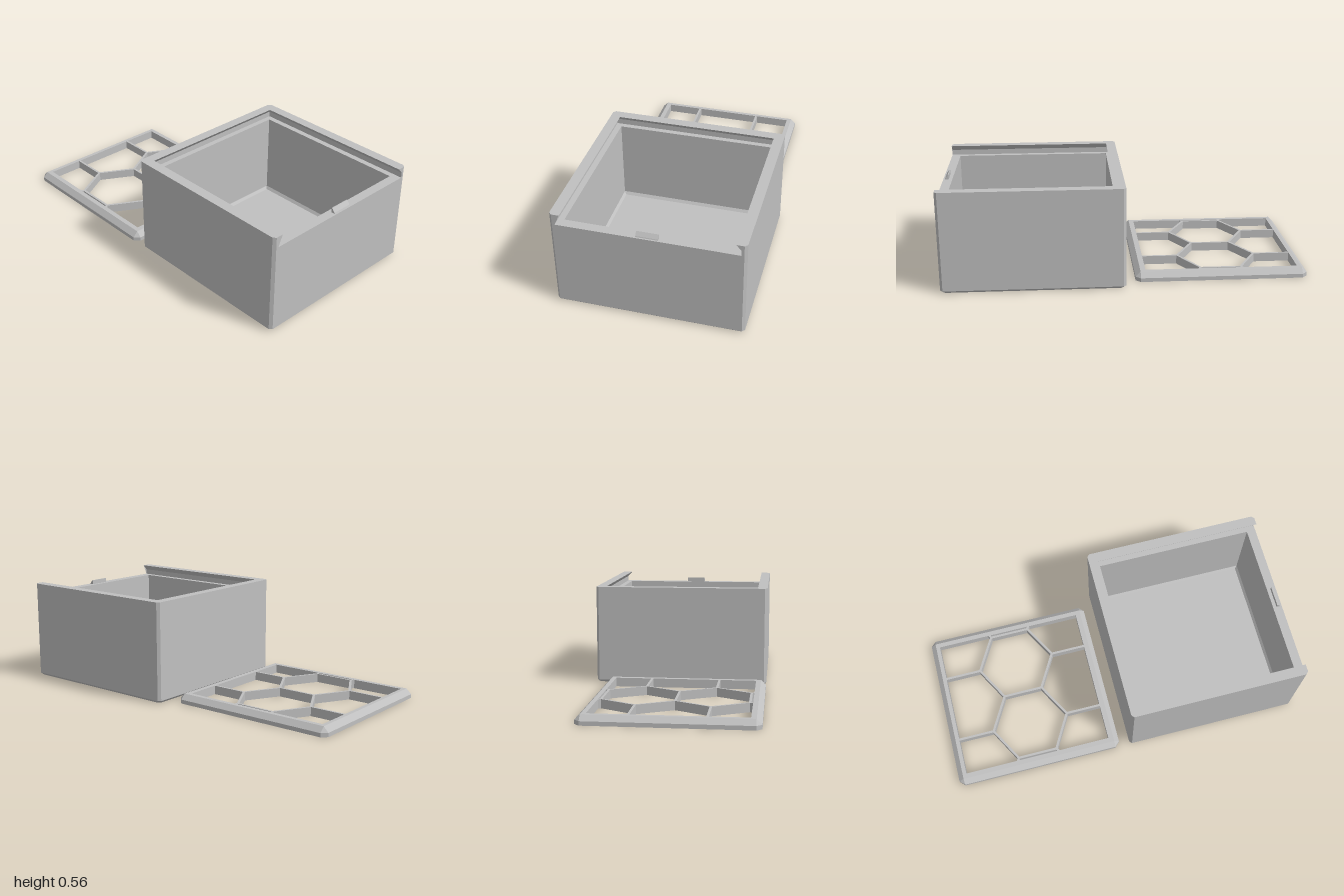
import * as THREE from 'three';

const grey = new THREE.MeshStandardMaterial({ color: 0xc0c0c0 });
grey.name = 'grey plastic';

// Rectangle with cut corners at height y, counter-clockwise from above
function ring(x0, x1, z0, z1, y, c = 0) {
  return [
    [x1 - c, y, z1], [x1, y, z1 - c], [x1, y, z0 + c], [x1 - c, y, z0],
    [x0 + c, y, z0], [x0, y, z0 + c], [x0, y, z1 - c], [x0 + c, y, z1],
  ];
}

// Skin neighbouring rows of points with flat faces; caps are lists of corner loops
function loft(name, rows, closed, caps = []) {
  const pos = [];
  const tri = (a, b, c) => {
    const [A, B, C] = [a, b, c].map((p) => new THREE.Vector3(...p));
    if (B.sub(A).cross(C.sub(A)).length() > 1e-9) pos.push(...a, ...b, ...c);
  };
  for (let r = 0; r < rows.length - 1; r++) {
    const lo = rows[r], hi = rows[r + 1], n = lo.length;
    for (let i = 0; i < (closed ? n : n - 1); i++) {
      const j = (i + 1) % n;
      tri(lo[i], lo[j], hi[j]);
      tri(lo[i], hi[j], hi[i]);
    }
  }
  for (const cap of caps) {
    for (let i = 1; i < cap.length - 1; i++) tri(cap[0], cap[i], cap[i + 1]);
  }
  const geo = new THREE.BufferGeometry();
  geo.setAttribute('position', new THREE.Float32BufferAttribute(pos, 3));
  geo.computeVertexNormals();
  const mesh = new THREE.Mesh(geo, grey);
  mesh.name = name;
  return mesh;
}

function createBox() {
  const box = new THREE.Group();
  box.name = 'box';
  const W = 0.495, B = 0.01, F = 1, c = 0.014, lip = 0.5, top = 0.56;

  // Hollow body with bevelled foot and bevelled floor edge
  const body = [
    ring(-W + 0.012, W - 0.012, B + 0.012, F - 0.012, 0, c),
    ring(-W, W, B, F, 0.013, c),
    ring(-W, W, B, F, lip, c),
    ring(-0.435, 0.435, 0.067, 0.95, lip),
    ring(-0.435, 0.435, 0.067, 0.95, 0.045),
    ring(-0.423, 0.423, 0.079, 0.938, 0.03),
  ];
  box.add(loft('body', body, true, [[...body[0]].reverse(), body[5]]));

  // Dovetail rim around the sides and back, open at the front
  const outer = (y) => ring(-W, W, B, F, y, c);
  const inner = (x, z, y) => [
    [x, y, F], [x, y, F - c], [x, y, z], [x, y, z],
    [-x, y, z], [-x, y, z], [-x, y, F - c], [-x, y, F],
  ];
  const rim = [
    outer(lip), outer(top),
    inner(0.44, 0.065, top), inner(0.467, 0.038, 0.53), inner(0.467, 0.038, lip),
  ];
  const end = (i) => [3, 4, 0, 1, 2].map((r) => rim[r][i]);
  box.add(loft('slideRim', rim, false, [end(0), end(7).reverse()]));

  // Small sloped catch on the front lip
  const catchShape = new THREE.Shape([
    new THREE.Vector2(0.97, lip), new THREE.Vector2(0.992, lip),
    new THREE.Vector2(0.99, 0.505), new THREE.Vector2(0.975, 0.525),
    new THREE.Vector2(0.97, 0.525),
  ]);
  const catchGeo = new THREE.ExtrudeGeometry(catchShape, { depth: 0.114, bevelEnabled: false });
  catchGeo.rotateY(-Math.PI / 2).translate(0.057, 0, 0);
  const latch = new THREE.Mesh(catchGeo, grey);
  latch.name = 'catch';
  box.add(latch);
  return box;
}

function createLid() {
  const lid = new THREE.Group();
  lid.name = 'lid';
  const h = 0.05;

  // Bevelled frame
  const [x0, x1, z0, z1] = [-0.495, 0.413, -1, -0.048];
  const hole = (y) => ring(-0.44, 0.36, -0.95, -0.105, y);
  const b = 0.028;
  lid.add(loft('lidFrame', [
    hole(0),
    ring(x0, x1, z0, z1, 0, b),
    ring(x0, x1, z0, z1, 0.022, b),
    ring(x0 + b, x1 - b, z0 + b, z1 - b, h),
    hole(h),
    hole(0),
  ], true));

  // Honeycomb bars
  const bar = (ax, az, bx, bz) => {
    const len = Math.hypot(bx - ax, bz - az);
    const mesh = new THREE.Mesh(new THREE.BoxGeometry(len + 0.006, h - 0.001, 0.013), grey);
    mesh.position.set((ax + bx) / 2, h / 2, (az + bz) / 2);
    mesh.rotation.y = -Math.atan2(bz - az, bx - ax);
    mesh.name = 'honeycombBar';
    lid.add(mesh);
  };
  const zc = -0.525, side = 0.112, tip = 0.22, half = 0.1925, xm = -0.04;
  for (const k of [-1, 0, 1]) bar(xm + 2 * half * k, zc - side, xm + 2 * half * k, zc + side);
  for (const sx of [-1, 1]) {
    const cx = xm + sx * half;
    for (const sz of [-1, 1]) {
      bar(cx, zc + sz * tip, cx, zc + sz * 0.425);
      for (const d of [-1, 1]) bar(cx, zc + sz * tip, cx + d * half, zc + sz * side);
      // Short stub joining the outer corner to the frame
      const ex = xm + sx * 2 * half;
      bar(ex, zc + sz * side, ex + sx * 0.025, zc + sz * (side + 0.014));
    }
  }
  return lid;
}

export function createModel() {
  const model = new THREE.Group();
  model.name = 'slidingLidBox';
  model.add(createBox(), createLid());
  return model;
}
